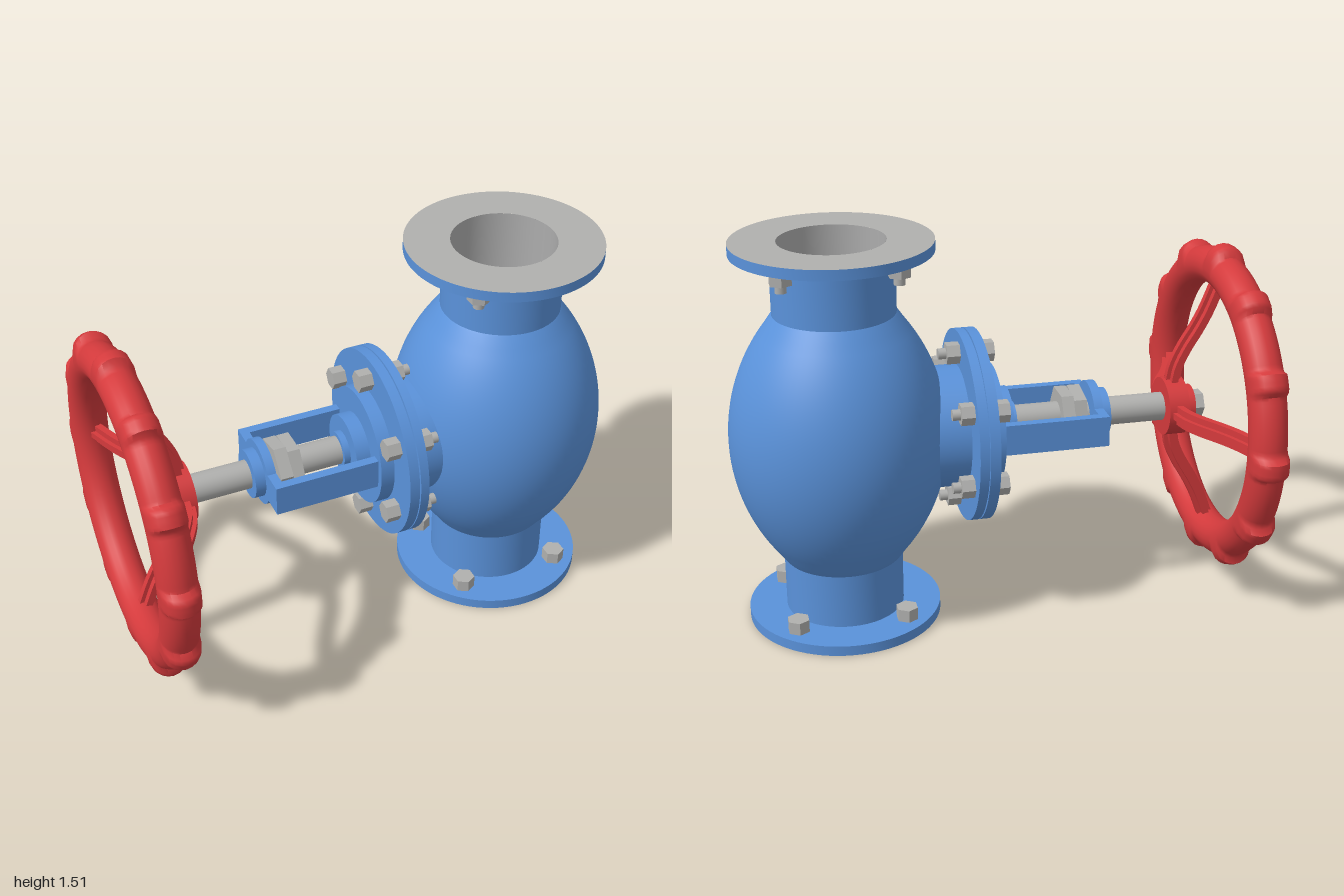
import * as THREE from 'three';
import { toCreasedNormals } from 'three/addons/utils/BufferGeometryUtils.js';

const AXIS_Y = 0.742; // height of the stem axis
const BODY_X = 0.58;  // vertical pipe axis

export function createModel() {
  const model = new THREE.Group();
  model.name = 'handwheelValve';

  const blue = new THREE.MeshStandardMaterial({ color: 0x5a92da });
  blue.name = 'blue paint';
  const red = new THREE.MeshStandardMaterial({ color: 0xd43a3c });
  red.name = 'red paint';
  const steel = new THREE.MeshStandardMaterial({ color: 0xb0b0ae });
  steel.name = 'bare steel';
  const bore = new THREE.MeshStandardMaterial({ color: 0xacacac, side: THREE.DoubleSide });
  bore.name = 'machined bore';

  const add = (parent, name, geo, mat, x = 0, y = 0, z = 0) => {
    const mesh = new THREE.Mesh(geo, mat);
    mesh.name = name;
    mesh.position.set(x, y, z);
    parent.add(mesh);
    return mesh;
  };
  const group = (name, x = 0, y = 0, z = 0) => {
    const g = new THREE.Group();
    g.name = name;
    g.position.set(x, y, z);
    model.add(g);
    return g;
  };
  // Cylinder or prism lying along x, from x0 to x1
  const rodX = (parent, name, r, x0, x1, mat, y = 0, z = 0, sides = 64, turn = 0) => {
    let geo = new THREE.CylinderGeometry(r, r, x1 - x0, sides).rotateY(turn).rotateZ(Math.PI / 2);
    if (sides < 12) geo = toCreasedNormals(geo, 0.5);
    return add(parent, name, geo, mat, (x0 + x1) / 2, y, z);
  };
  // Cylinder or prism standing along y, from y0 to y1
  const rodY = (parent, name, r, y0, y1, mat, x, z, sides = 24) => {
    let geo = new THREE.CylinderGeometry(r, r, y1 - y0, sides);
    if (sides < 12) geo = toCreasedNormals(geo, 0.5);
    return add(parent, name, geo, mat, x, (y0 + y1) / 2, z);
  };

  // Body: flanges, pipe ends and bulging globe in one profile
  const body = group('body', BODY_X);
  const profile = [[0.375, 0], [0.375, 0.04], [0.23, 0.04], [0.23, 0.255], [0.236, 0.262]];
  for (let i = 1; i < 28; i++) {
    const dy = -0.484 + (0.968 * i) / 28;
    profile.push([0.415 - 0.728 + Math.sqrt(0.728 ** 2 - dy * dy), 0.746 + dy]);
  }
  profile.push([0.236, 1.23], [0.23, 1.237], [0.23, 1.47], [0.375, 1.47], [0.375, 1.51]);
  const points = profile.map(([r, y]) => new THREE.Vector2(r, y));
  add(body, 'globe', toCreasedNormals(new THREE.LatheGeometry(points, 80), 0.55), blue);

  // Machined end faces, bore and the partition inside it
  add(body, 'topFace', new THREE.RingGeometry(0.2, 0.375, 80).rotateX(-Math.PI / 2), steel, 0, 1.51);
  add(body, 'bottomFace', new THREE.RingGeometry(0.2, 0.375, 80).rotateX(Math.PI / 2), steel);
  add(body, 'boreWall', new THREE.CylinderGeometry(0.2, 0.2, 1.51, 64, 1, true), bore, 0, 0.755);
  add(body, 'partition', new THREE.CylinderGeometry(0.2, 0.2, 0.04, 64), bore, 0, AXIS_Y);
  add(body, 'seatRib', new THREE.BoxGeometry(0.03, 0.12, 0.39), bore, -0.035, AXIS_Y);
  add(body, 'plug', new THREE.CylinderGeometry(0.07, 0.13, 0.065, 32).rotateZ(Math.PI / 2), bore, -0.145, AXIS_Y);

  // Four bolts on each pipe flange
  const pipeBolts = group('pipeFlangeBolts', BODY_X);
  for (const sx of [-1, 1]) for (const sz of [-1, 1]) {
    const x = 0.21 * sx, z = 0.21 * sz;
    rodY(pipeBolts, 'bottomBoltHead', 0.044, 0.04, 0.09, steel, x, z, 6);
    rodY(pipeBolts, 'topNut', 0.044, 1.42, 1.47, steel, x, z, 6);
    rodY(pipeBolts, 'topStud', 0.021, 1.39, 1.42, steel, x, z);
  }

  // Side neck and bonnet
  const bonnet = group('bonnet', 0, AXIS_Y);
  rodX(bonnet, 'neck', 0.235, 0.1, 0.3, blue);
  rodX(bonnet, 'neckFlange', 0.372, 0.08, 0.114, blue);
  rodX(bonnet, 'gasket', 0.36, 0.074, 0.081, blue);
  rodX(bonnet, 'bonnetFlange', 0.372, 0.036, 0.075, blue);
  rodX(bonnet, 'bonnetHub', 0.233, -0.018, 0.037, blue);
  rodX(bonnet, 'bonnetStep', 0.135, -0.075, -0.017, blue);
  rodX(bonnet, 'stemCollar', 0.073, -0.1, -0.074, blue);
  for (let i = 0; i < 6; i++) {
    const a = (i * Math.PI) / 3, y = 0.295 * Math.cos(a), z = 0.295 * Math.sin(a);
    rodX(bonnet, 'bonnetBoltHead', 0.043, -0.018, 0.037, steel, y, z, 6);
    rodX(bonnet, 'bonnetNut', 0.043, 0.113, 0.165, steel, y, z, 6);
    rodX(bonnet, 'bonnetStud', 0.021, 0.16, 0.195, steel, y, z, 24);
  }

  // Yoke: two arms joined by a plate with a round boss
  const yoke = group('yoke', 0, AXIS_Y);
  for (const s of [-1, 1]) {
    add(yoke, 'yokeArm', new THREE.BoxGeometry(0.412, 0.12, 0.036), blue, -0.224, 0, 0.184 * s);
  }
  add(yoke, 'yokePlate', new THREE.BoxGeometry(0.035, 0.12, 0.4), blue, -0.4125);
  rodX(yoke, 'yokeDisc', 0.128, -0.43, -0.395, blue);
  rodX(yoke, 'yokeBoss', 0.095, -0.47, -0.428, blue);

  // Stem with its gland nuts
  const stem = group('stem', 0, AXIS_Y);
  rodX(stem, 'stemRod', 0.056, -0.82, -0.08, steel, 0, 0, 40);
  rodX(stem, 'glandNut', 0.115, -0.375, -0.325, steel, 0, 0, 6, 0.2);
  rodX(stem, 'lockNut', 0.115, -0.326, -0.278, steel, 0, 0, 6, 0);
  rodX(stem, 'wheelNut', 0.055, -0.87, -0.82, steel, 0, 0, 6, 0);

  // Handwheel rim, with twelve grip lumps raised on its outer side
  const wheel = group('handwheel', 0, AXIS_Y);
  const rim = new THREE.TorusGeometry(0.55, 0.0725, 20, 288);
  const p = rim.attributes.position;
  const pitch = Math.PI / 6;
  for (let i = 0; i < p.count; i++) {
    const x = p.getX(i), y = p.getY(i), r = Math.hypot(x, y);
    const a = Math.atan2(y, x) + 0.05;
    const off = Math.abs(a - Math.round(a / pitch) * pitch);
    const bump = 1 - THREE.MathUtils.smoothstep(off, 0.045, 0.085);
    const outer = THREE.MathUtils.smoothstep((r - 0.55) / 0.0725, -0.3, 0.6);
    const k = 1 + (0.033 * bump * outer) / r;
    p.setXY(i, x * k, y * k);
  }
  rim.rotateY(Math.PI / 2);
  add(wheel, 'rim', toCreasedNormals(rim, 0.9), red, -0.927);

  // Curved spokes: a flat web with a narrow rib through the middle
  const line = new THREE.SplineCurve([
    [-0.92, 0.51], [-0.878, 0.4], [-0.838, 0.32], [-0.79, 0.24], [-0.755, 0.16], [-0.742, 0.07],
  ].map(([x, r]) => new THREE.Vector2(x, r)));
  const spokeGeometry = (half, width) => {
    const left = [], right = [];
    for (let i = 0; i <= 16; i++) {
      const c = line.getPoint(i / 16), t = line.getTangent(i / 16);
      left.push(new THREE.Vector2(c.x - t.y * half, c.y + t.x * half));
      right.unshift(new THREE.Vector2(c.x + t.y * half, c.y - t.x * half));
    }
    const geo = new THREE.ExtrudeGeometry(new THREE.Shape([...left, ...right]), { depth: width, bevelEnabled: false });
    return toCreasedNormals(geo.translate(0, 0, -width / 2), 0.6);
  };
  const web = spokeGeometry(0.013, 0.076), rib = spokeGeometry(0.029, 0.026);
  for (let i = 0; i < 4; i++) {
    const spoke = new THREE.Group();
    spoke.name = 'spoke';
    spoke.rotation.x = (i * Math.PI) / 2;
    add(spoke, 'spokeWeb', web, red);
    add(spoke, 'spokeRib', rib, red);
    wheel.add(spoke);
  }
  rodX(wheel, 'hub', 0.115, -0.787, -0.705, red);
  rodX(wheel, 'hubCollar', 0.078, -0.825, -0.785, red);

  return model;
}
